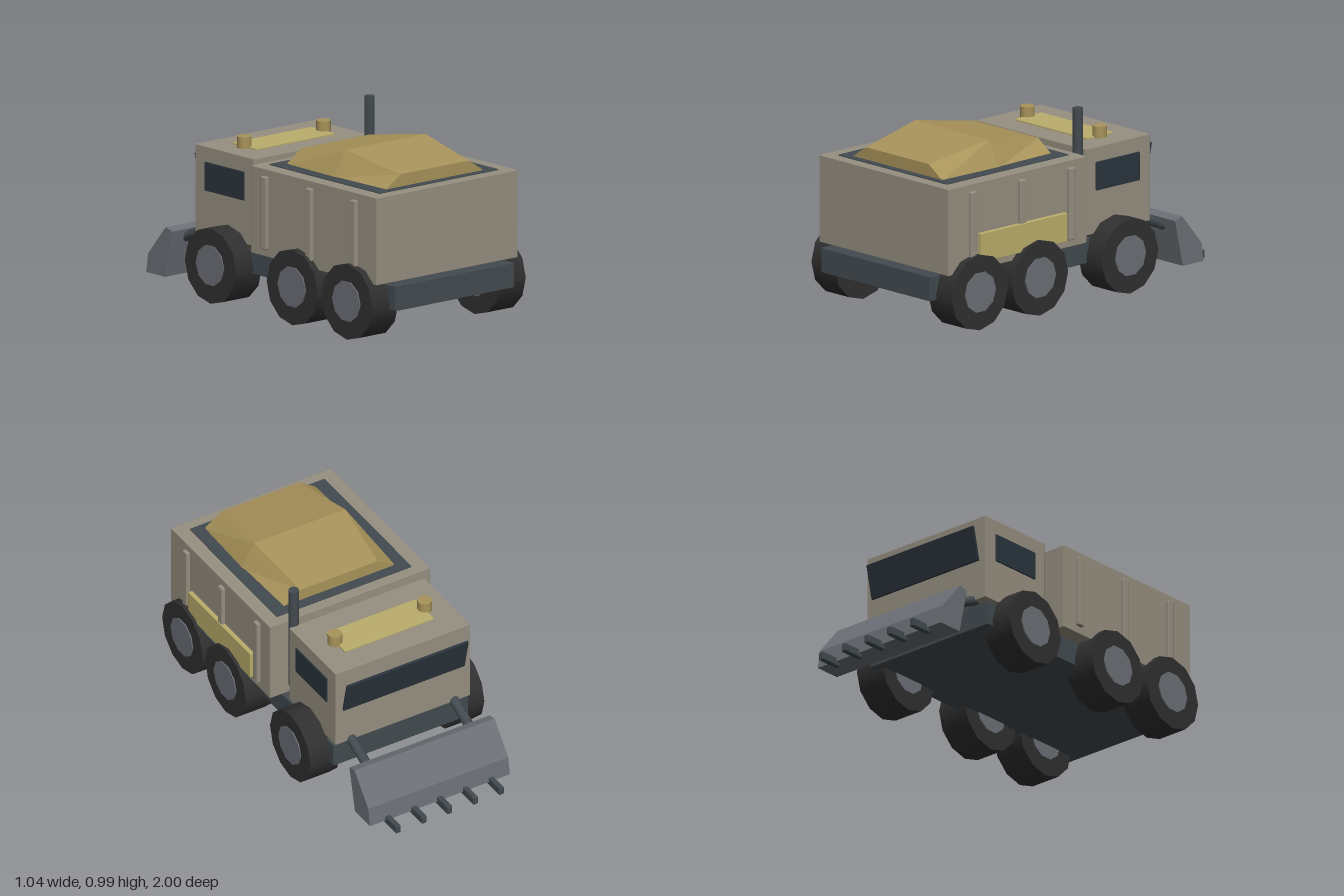
import * as THREE from 'three';
import { RoundedBoxGeometry } from 'three/addons/geometries/RoundedBoxGeometry.js';

const mat = (color) => new THREE.MeshStandardMaterial({ color });
const paint = mat(0x979081);
const dark = mat(0x434b50);
const rubber = mat(0x303030);
const steel = mat(0x6b6f75);
const glass = mat(0x2b353d);
const yellow = mat(0xbcae6c);
const sand = mat(0xa8935a);

export function createModel() {
  const model = new THREE.Group();
  const add = (name, geometry, material, x = 0, y = 0, z = 0) => {
    const mesh = new THREE.Mesh(geometry, material);
    mesh.name = name;
    mesh.position.set(x, y, z);
    model.add(mesh);
    return mesh;
  };
  // box given by its limits on each axis, with slightly softened edges
  const box = (name, material, [x0, x1], [y0, y1], [z0, z1], r = 0.003) =>
    add(name, new RoundedBoxGeometry(x1 - x0, y1 - y0, z1 - z0, 1, r), material,
      (x0 + x1) / 2, (y0 + y1) / 2, (z0 + z1) / 2);

  // chassis, dump body and cab
  box('chassis', dark, [-0.4, 0.4], [0.175, 0.304], [-0.52, 1]);
  box('dumpBody', paint, [-0.475, 0.475], [0.31, 0.765], [-0.025, 0.942]);
  box('bodyInset', dark, [-0.4, 0.4], [0.74, 0.771], [0.03, 0.88]);
  box('cab', paint, [-0.4, 0.4], [0.32, 0.774], [-0.54, -0.088]);

  // heaped load: a box whose sections taper upward and swell in the middle
  const load = new THREE.BoxGeometry(2, 1, 2, 1, 1, 2);
  const p = load.attributes.position;
  for (let i = 0; i < p.count; i++) {
    const top = p.getY(i) > 0;
    const end = p.getZ(i) !== 0;
    const half = top ? (end ? 0.23 : 0.27) : (end ? 0.335 : 0.345);
    p.setXYZ(i, p.getX(i) * half, top ? (end ? 0.835 : 0.9) : 0.765,
      0.465 + p.getZ(i) * 0.382);
  }
  const loadFlat = load.toNonIndexed();
  loadFlat.computeVertexNormals();
  add('load', loadFlat, sand);

  // side ribs on both sides, toolbox panel on the left only
  for (const s of [-1, 1]) {
    for (const z of [0.09, 0.434, 0.777]) {
      add('bodyRib', new RoundedBoxGeometry(0.04, 0.38, 0.044, 1, 0.008), paint, s * 0.475, 0.538, z);
    }
    add('sideWindow', new RoundedBoxGeometry(0.02, 0.15, 0.305, 1, 0.004), glass, s * 0.396, 0.62, -0.312);
  }
  box('sidePanel', yellow, [0.46, 0.498], [0.35, 0.5], [0.13, 0.735]);

  // windscreen leaning outward at the top
  const screen = add('windscreen', new RoundedBoxGeometry(0.72, 0.185, 0.015, 1, 0.004), glass, 0, 0.622, -0.566);
  screen.rotation.x = -0.22;

  // roof panel, beacons and exhaust
  box('roofPanel', yellow, [-0.265, 0.265], [0.76, 0.783], [-0.41, -0.225]);
  for (const s of [-1, 1]) {
    add('beacon', new THREE.CylinderGeometry(0.038, 0.038, 0.065, 12), sand, s * 0.266, 0.802, -0.315);
  }
  add('exhaust', new THREE.CylinderGeometry(0.027, 0.027, 0.6, 12), dark, 0.362, 0.69, -0.07);

  // three axles of wheels with hubs showing on both faces
  const tyre = new THREE.CylinderGeometry(0.197, 0.197, 0.174, 12).rotateZ(Math.PI / 2);
  const hub = new THREE.CylinderGeometry(0.107, 0.107, 0.186, 10).rotateZ(Math.PI / 2);
  for (const z of [0.76, 0.34, -0.29]) {
    for (const s of [-1, 1]) {
      add('tyre', tyre, rubber, s * 0.429, 0.2, z);
      add('hub', hub, steel, s * 0.429, 0.203, z);
    }
  }

  // bucket: side profile in (-z, y) extruded across the width
  const profile = new THREE.Shape([[0.7, 0.29], [0.75, 0.305], [0.885, 0.145], [0.9, 0.045], [0.755, 0.045]]
    .map(([a, b]) => new THREE.Vector2(a, b)));
  const bucket = new THREE.ExtrudeGeometry(profile, { depth: 0.83, bevelEnabled: false });
  bucket.translate(0, 0, -0.415).rotateY(Math.PI / 2);
  add('bucket', bucket, steel);
  for (let i = -2; i <= 2; i++) {
    add('bucketTooth', new RoundedBoxGeometry(0.03, 0.045, 0.13, 1, 0.006), dark, i * 0.153, 0.046, -0.935);
  }

  // lift arms
  for (const x of [-0.305, 0.305]) {
    const path = new THREE.LineCurve3(new THREE.Vector3(x, 0.362, -0.45), new THREE.Vector3(x, 0.235, -0.745));
    add('liftArm', new THREE.TubeGeometry(path, 1, 0.026, 10), dark);
  }
  return model;
}
